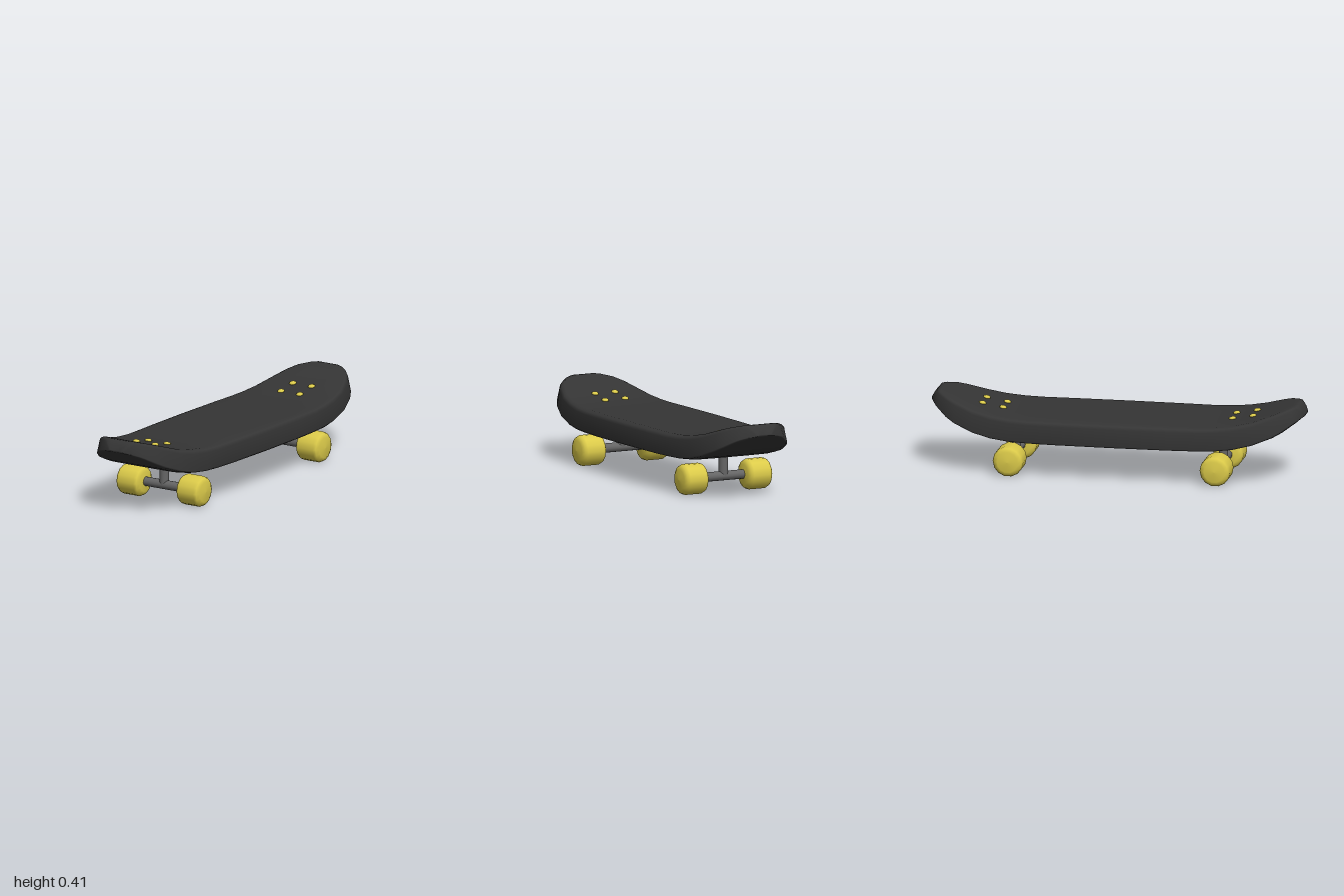
import * as THREE from 'three';

const black = new THREE.MeshStandardMaterial({ name: 'charcoal', color: 0x353535 });
const yellow = new THREE.MeshStandardMaterial({ name: 'yellow', color: 0xdccb4a });
const grey = new THREE.MeshStandardMaterial({ name: 'grey', color: 0x666666 });

// Deck stations for one half: z, half width, half width of flat top, top y, bottom y
const stations = [
  [0, 0.29, 0.255, 0.315, 0.183],
  [0.3, 0.286, 0.252, 0.315, 0.183],
  [0.45, 0.28, 0.248, 0.315, 0.184],
  [0.55, 0.274, 0.242, 0.319, 0.187],
  [0.65, 0.264, 0.232, 0.33, 0.198],
  [0.75, 0.25, 0.215, 0.351, 0.222],
  [0.85, 0.22, 0.175, 0.384, 0.26],
  [0.9, 0.192, 0.145, 0.4, 0.287],
  [0.945, 0.15, 0.09, 0.413, 0.318],
  [0.965, 0.127, 0.06, 0.415, 0.331],
  [0.985, 0.088, 0.05, 0.393, 0.346],
  [1, 0.05, 0.04, 0.365, 0.355],
];

function add(parent, name, geometry, material, x = 0, y = 0, z = 0) {
  const mesh = new THREE.Mesh(geometry, material);
  mesh.name = name;
  mesh.position.set(x, y, z);
  parent.add(mesh);
  return mesh;
}

// Closed cross-section with rounded edges; the walls lean inwards at the ends
function section([z, w, wt, yt, yb]) {
  const h = yt - yb;
  const lean = THREE.MathUtils.clamp((Math.abs(z) - 0.5) / 0.4, 0, 1);
  const wu = w - (w - wt) * 0.4 * lean;
  const half = [
    [wt * 0.5, yt],
    [wt, yt],
    [wt + (wu - wt) * 0.55, yt - h * 0.06],
    [wu, yt - h * 0.17],
    [w, yb + h * 0.14],
    [w * 0.965, yb + h * 0.07],
    [w * 0.8, yb + h * 0.01],
    [w * 0.4, yb],
  ];
  const mirrored = half.map(([x, y]) => [-x, y]).reverse();
  return [...half, ...mirrored].map(([x, y]) => [x, y, z]);
}

function deckGeometry() {
  const back = stations.slice(1).reverse().map(([z, ...rest]) => [-z, ...rest]);
  const rings = [...back, ...stations].map(section);
  const n = rings[0].length;
  const index = [];
  for (let i = 0; i < rings.length - 1; i++) {
    for (let j = 0; j < n; j++) {
      const a = i * n + j, b = i * n + (j + 1) % n;
      index.push(a, b, a + n, b, b + n, a + n);
    }
  }
  // End caps
  const last = (rings.length - 1) * n;
  for (let j = 1; j < n - 1; j++) {
    index.push(0, j + 1, j);
    index.push(last, last + j, last + j + 1);
  }
  // Orient every face outwards according to the signed volume
  const p = rings.flat();
  let volume = 0;
  const v = (k) => new THREE.Vector3(...p[k]);
  for (let k = 0; k < index.length; k += 3) {
    volume += v(index[k]).dot(v(index[k + 1]).cross(v(index[k + 2])));
  }
  if (volume < 0) index.reverse();
  const g = new THREE.BufferGeometry();
  g.setAttribute('position', new THREE.Float32BufferAttribute(p.flat(), 3));
  g.setIndex(index);
  g.computeVertexNormals();
  return g;
}

// Top surface height at a given z
function topHeight(z) {
  const d = Math.abs(z);
  const i = stations.findIndex((s) => s[0] > d);
  const a = stations[i - 1], b = stations[i];
  return a[3] + (b[3] - a[3]) * (d - a[0]) / (b[0] - a[0]);
}

export function createModel() {
  const model = new THREE.Group();
  model.name = 'skateboard';
  add(model, 'deck', deckGeometry(), black);

  // Barrel-shaped wheel turned around x
  const profile = [[0, -0.077], [0.055, -0.073], [0.074, -0.062], [0.082, -0.048],
    [0.082, 0.048], [0.074, 0.062], [0.055, 0.073], [0, 0.077]];
  const wheel = new THREE.LatheGeometry(profile.map(([r, y]) => new THREE.Vector2(r, y)), 14);
  wheel.rotateZ(-Math.PI / 2);
  const axle = new THREE.CylinderGeometry(0.025, 0.025, 0.3, 12).rotateZ(Math.PI / 2);
  const post = new THREE.CylinderGeometry(0.025, 0.025, 0.115, 12);
  const screw = new THREE.SphereGeometry(0.02, 8, 6).scale(1, 0.5, 1);

  for (const end of [1, -1]) {
    const truck = new THREE.Group();
    truck.name = end > 0 ? 'frontTruck' : 'backTruck';
    truck.position.z = 0.555 * end;
    model.add(truck);
    add(truck, 'axle', axle, grey, 0, 0.084);
    add(truck, 'post', post, grey, 0, 0.1425);
    for (const side of [1, -1]) {
      add(truck, side > 0 ? 'leftWheel' : 'rightWheel', wheel, yellow, 0.192 * side, 0.082);
      // Mounting screws on the deck
      for (const d of [0.615, 0.725]) {
        const s = add(model, 'screw', screw, yellow, 0.06 * side, topHeight(d) + 0.003, d * end);
        s.rotation.x = -0.18 * end;
      }
    }
  }
  return model;
}
